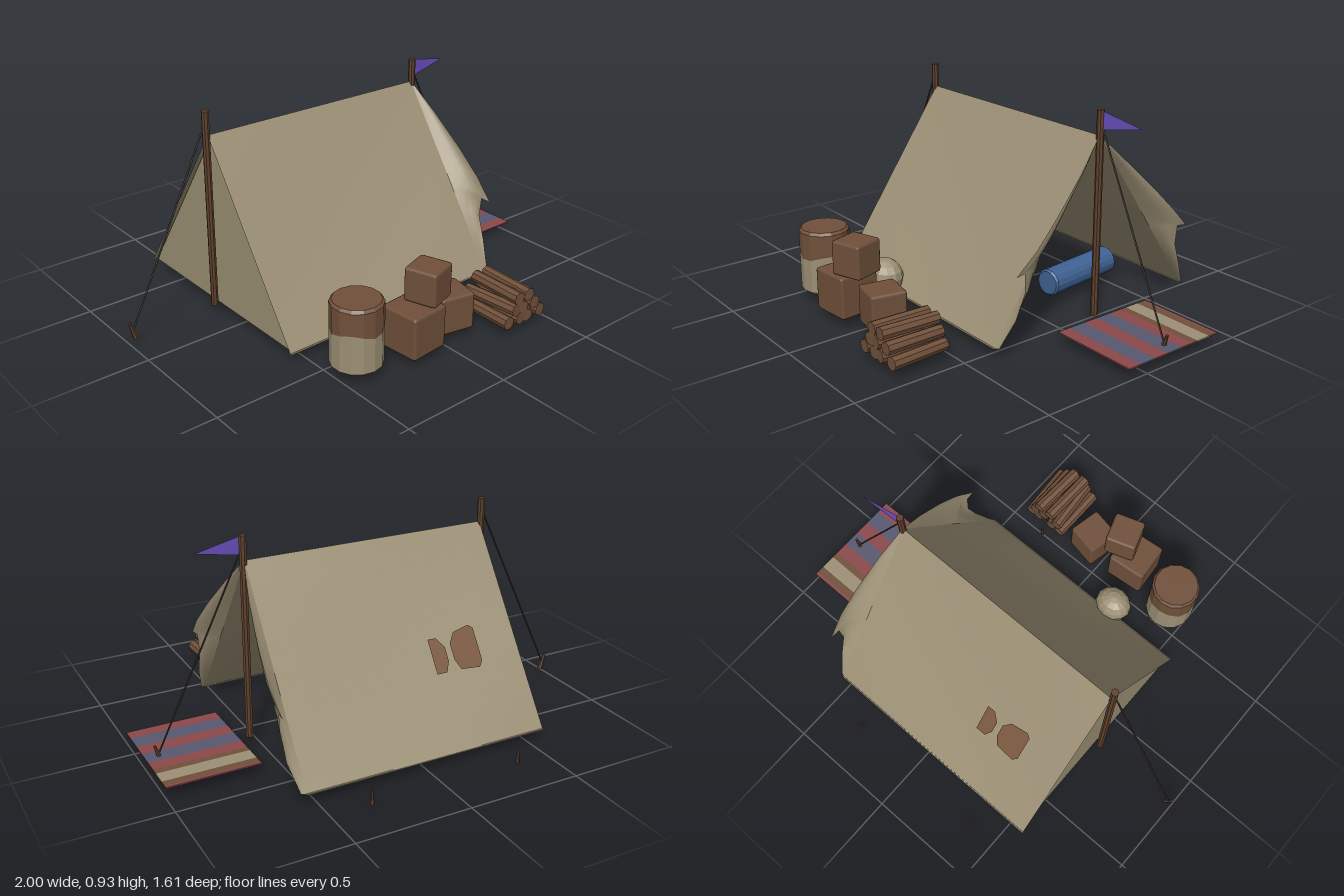
import * as THREE from 'three';
import { RoundedBoxGeometry } from 'three/addons/geometries/RoundedBoxGeometry.js';

const mat = (name, color, side = THREE.FrontSide) => {
  const m = new THREE.MeshStandardMaterial({ color, side });
  m.name = name;
  return m;
};
const RIDGE = 0.82, BASE = 0.043, RZ = -0.15, HALF = 0.535, FRONT = 0.54, BACK = -0.575;
const slopeDz = (y) => HALF * (RIDGE - y) / (RIDGE - BASE);

// faceted normals
function flat(geo) {
  const g = geo.index ? geo.toNonIndexed() : geo;
  g.computeVertexNormals();
  return g;
}

// grid surface from a function of u, v
function sheet(nu, nv, fn) {
  const pos = [], idx = [];
  for (let j = 0; j <= nv; j++) {
    for (let i = 0; i <= nu; i++) pos.push(...fn(i / nu, j / nv));
  }
  for (let j = 0; j < nv; j++) {
    for (let i = 0; i < nu; i++) {
      const a = j * (nu + 1) + i, b = a + nu + 1;
      idx.push(a, b, a + 1, a + 1, b, b + 1);
    }
  }
  const g = new THREE.BufferGeometry();
  g.setAttribute('position', new THREE.Float32BufferAttribute(pos, 3));
  g.setIndex(idx);
  g.computeVertexNormals();
  return g;
}

// tapered rod between two points
function rod(a, b, r0, r1, sides) {
  const A = new THREE.Vector3(...a), B = new THREE.Vector3(...b);
  const d = B.clone().sub(A);
  const g = new THREE.CylinderGeometry(r1, r0, d.length(), sides);
  g.applyQuaternion(new THREE.Quaternion().setFromUnitVectors(new THREE.Vector3(0, 1, 0), d.normalize()));
  g.translate(...A.add(B).multiplyScalar(0.5).toArray());
  return flat(g);
}

export function createModel() {
  const root = new THREE.Group();
  root.name = 'campsite';
  const canvas = mat('canvas', 0x9c9075, THREE.DoubleSide);
  const wood = mat('wood', 0x70503a);
  const pole = mat('dark wood', 0x5e402c);
  const rope = mat('rope', 0x3a342c);
  const blue = mat('bedroll blue', 0x3f6293);
  const red = mat('rug red', 0x8c484a);
  const slate = mat('rug slate', 0x57586f);
  const purple = mat('flag purple', 0x6a4fbe, THREE.DoubleSide);
  const patchMat = mat('patch brown', 0x7a573e, THREE.DoubleSide);

  const add = (name, geo, material, parent = root) => {
    const m = new THREE.Mesh(geo, material);
    m.name = name;
    parent.add(m);
    return m;
  };

  // tent
  const tent = new THREE.Group();
  tent.name = 'tent';
  root.add(tent);
  for (const s of [1, -1]) {
    // gently sagging roof slope
    add('roofSlope', sheet(10, 8, (u, v) => {
      const sag = 0.012 * Math.sin(Math.PI * u) * Math.sin(Math.PI * v);
      return [BACK + u * (FRONT - BACK), RIDGE + v * (BASE - RIDGE) - sag, RZ + s * (HALF * v - sag)];
    }), canvas, tent);
    // hem along the ground edge
    add('hem', rod([BACK, BASE, RZ + s * HALF], [FRONT, BASE, RZ + s * HALF], 0.004, 0.004, 5), canvas, tent);

    // tied-back door flap: hinge height, then free edge as x, y, distance from ridge
    const rows = [
      [0.82, 0.545, 0.815, 0.005], [0.70, 0.58, 0.69, 0.13], [0.57, 0.605, 0.55, 0.275],
      [0.48, 0.615, 0.44, 0.385], [0.42, 0.605, 0.35, 0.477], [0.37, 0.60, 0.355, 0.43],
      [0.29, 0.595, 0.27, 0.425], [0.18, 0.59, 0.16, 0.465], [0.043, 0.56, 0.045, 0.525],
    ];
    const n = rows.length - 1;
    add('doorFlap', sheet(5, n, (u, v) => {
      const [hy, x, y, dz] = rows[Math.round(v * n)];
      const bulge = 0.025 * Math.sin(Math.PI * u) * Math.sin(Math.PI * v);
      return [FRONT + (x - FRONT) * u + bulge, hy + (y - hy) * u,
        RZ + s * (slopeDz(hy) + (dz - slopeDz(hy)) * u)];
    }), canvas, tent);
  }
  const wall = new THREE.Shape([[0, RIDGE - 0.01], [-HALF + 0.01, BASE], [HALF - 0.01, BASE]]
    .map((p) => new THREE.Vector2(...p)));
  add('endWall', new THREE.ShapeGeometry(wall).rotateY(-Math.PI / 2).translate(BACK + 0.018, 0, RZ), canvas, tent);

  // mended patches on the rear slope, given as x, z
  const patches = [
    [[-0.38, -0.49], [-0.36, -0.505], [-0.27, -0.5], [-0.25, -0.475], [-0.25, -0.435], [-0.28, -0.41], [-0.36, -0.4], [-0.38, -0.41]],
    [[-0.2, -0.5], [-0.152, -0.5], [-0.152, -0.415], [-0.19, -0.415], [-0.222, -0.44], [-0.222, -0.475]],
  ];
  for (const pts of patches) {
    const g = new THREE.ShapeGeometry(new THREE.Shape(pts.map((p) => new THREE.Vector2(...p))));
    const p = g.attributes.position;
    for (let i = 0; i < p.count; i++) {
      const z = p.getY(i);
      p.setXYZ(i, p.getX(i), RIDGE - (RZ - z) * (RIDGE - BASE) / HALF + 0.005, z - 0.004);
    }
    g.computeVertexNormals();
    add('patch', g, patchMat, tent);
  }

  // poles, guy ropes and their stakes
  for (const [x, s] of [[-0.582, -1], [0.545, 1]]) {
    add('pole', rod([x, 0.04, RZ], [x, 0.925, RZ], 0.016, 0.016, 8), pole);
    add('guyRope', rod([x + s * 0.01, 0.86, RZ], [x + s * 0.4, 0.055, RZ], 0.004, 0.004, 5), rope);
    add('guyStake', rod([x + s * 0.388, 0.022, RZ], [x + s * 0.412, 0.1, RZ], 0.012, 0.006, 6), pole);
  }
  for (const x of [-0.36, 0.32]) {
    for (const z of [0.5, -0.8]) add('sideStake', rod([x, 0, z], [x, 0.062, z], 0.009, 0.004, 6), pole);
  }

  // pennant
  const flag = new THREE.Shape([[0, 0.922], [0, 0.845], [0.2, 0.884]].map((p) => new THREE.Vector2(...p)));
  add('flag', new THREE.ShapeGeometry(flag).rotateY(0.1).translate(0.558, 0, RZ), purple);

  // striped rug
  const stripes = [[-0.4, red], [-0.388, wood], [-0.35, canvas], [-0.282, wood], [-0.25, red],
    [-0.19, slate], [-0.11, red], [-0.04, slate], [0.04, red], [0.1, null]];
  for (let i = 0; i < stripes.length - 1; i++) {
    const [z0, m] = stripes[i], z1 = stripes[i + 1][0];
    add('rugStripe', new THREE.BoxGeometry(0.4, 0.006, z1 - z0).translate(0.8, 0.05, (z0 + z1) / 2), m);
  }

  // bedroll
  const roll = [[0, -0.2], [0.052, -0.2], [0.06, -0.192], [0.06, 0.192], [0.052, 0.2], [0, 0.2]];
  const lathe = (pts, n) => new THREE.LatheGeometry(pts.map((p) => new THREE.Vector2(...p)), n);
  add('bedroll', flat(lathe(roll, 16)).rotateX(Math.PI / 2).rotateY(0.12).translate(0.26, 0.102, -0.315), blue);

  // barrel with a wavy line between its two colours
  const SEAM = 0.21;
  const wavy = (g) => {
    const p = g.attributes.position;
    for (let i = 0; i < p.count; i++) {
      if (Math.abs(p.getY(i) - SEAM) < 1e-4) {
        p.setY(i, SEAM + 0.012 * Math.sin(3 * Math.atan2(p.getZ(i), p.getX(i)) + 0.5));
      }
    }
    return flat(g).translate(-0.403, 0, 0.588);
  };
  add('barrelLower', wavy(lathe([[0.098, 0.04], [0.11, 0.052], [0.11, SEAM]], 14)), canvas);
  add('barrelUpper', wavy(lathe([[0.11, SEAM], [0.11, 0.318], [0.1, 0.33], [0, 0.33]], 14)), wood);
  add('barrelBase', wavy(lathe([[0, 0.04], [0.098, 0.04]], 14)), wood);

  // sack
  add('sack', flat(new THREE.SphereGeometry(1, 12, 8)).scale(0.088, 0.08, 0.075).translate(-0.202, 0.113, 0.405), canvas);

  // crates: x, bottom, z, width, height, turn
  const crates = [[-0.145, 0.04, 0.635, 0.185, 0.188, 0.09], [-0.067, 0.229, 0.63, 0.145, 0.15, 0.32],
    [0.083, 0.04, 0.602, 0.157, 0.166, -0.2]];
  for (const [x, y, z, w, h, turn] of crates) {
    const crate = add('crate', new RoundedBoxGeometry(w, h, w, 1, 0.012), wood);
    crate.position.set(x, y + h / 2, z);
    crate.rotation.y = turn;
  }

  // stacked firewood
  for (let row = 0; row < 3; row++) {
    for (let i = 0; i < 4 - row; i++) {
      const x = 0.247 + row * 0.03 + i * 0.061, y = 0.067 + row * 0.048;
      const skew = 0.012 * Math.sin(i * 2.3 + row * 1.7);
      add('log', rod([x - skew, y, 0.537], [x + skew, y, 0.797], 0.027, 0.029, 8), wood);
    }
  }
  return root;
}
